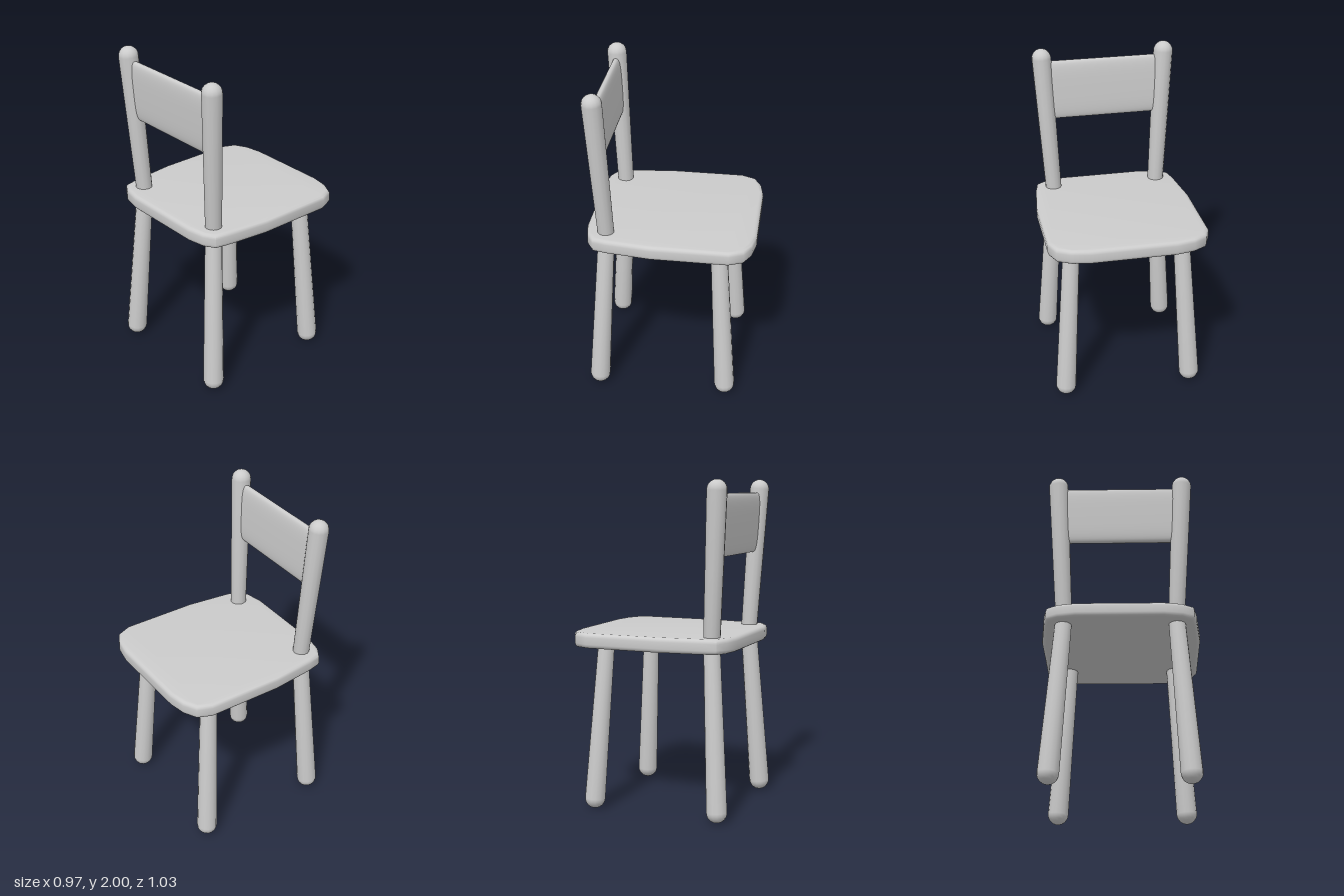
import * as THREE from 'three';
import { toCreasedNormals } from 'three/addons/utils/BufferGeometryUtils.js';

const material = new THREE.MeshStandardMaterial({ color: 0xcccccc });

function part(name, geometry) {
  const mesh = new THREE.Mesh(geometry, material);
  mesh.name = name;
  return mesh;
}

// Tapered round rod from base to tip, closed by a rounded end at the tip
function rod(name, base, tip, baseRadius, tipRadius) {
  const from = new THREE.Vector3(...base);
  const axis = new THREE.Vector3(...tip).sub(from);
  const length = axis.length();
  const profile = [new THREE.Vector2(0, 0), new THREE.Vector2(baseRadius, 0)];
  for (let i = 0; i <= 6; i++) {
    const a = (i / 6) * Math.PI / 2;
    profile.push(new THREE.Vector2(i === 6 ? 0 : tipRadius * Math.cos(a), length + tipRadius * Math.sin(a)));
  }
  const mesh = part(name, new THREE.LatheGeometry(profile, 14));
  mesh.quaternion.setFromUnitVectors(new THREE.Vector3(0, 1, 0), axis.normalize());
  mesh.position.copy(from);
  return mesh;
}

// Seat slab: mirrored outline with softened edges, narrower at the backrest end
function seat() {
  const half = [[0.26, -0.515], [0.37, -0.495], [0.45, -0.452], [0.487, -0.365],
    [0.487, 0.1], [0.455, 0.37], [0.437, 0.45], [0.37, 0.492], [0.26, 0.513]];
  const outline = [...half, ...half.map(([x, z]) => [-x, z]).reverse()];
  const shape = new THREE.Shape(outline.map(([x, z]) => new THREE.Vector2(x, -z)));
  const bevel = 0.025;
  const geometry = new THREE.ExtrudeGeometry(shape, {
    depth: 0.09 - 2 * bevel, bevelThickness: bevel, bevelSize: bevel, bevelOffset: -bevel, bevelSegments: 4,
  });
  geometry.rotateX(-Math.PI / 2);
  geometry.translate(0, 1.0 + bevel, 0);
  return part('seat', toCreasedNormals(geometry, 0.8));
}

// Backrest panel: softly rounded section swept between the posts, leaning with them
function backrest() {
  const width = 0.7, points = [];
  for (let i = 0; i < 32; i++) {
    const a = (i / 32) * Math.PI * 2, c = Math.cos(a), s = Math.sin(a);
    points.push(new THREE.Vector2(
      0.028 * Math.sign(c) * Math.abs(c) ** 0.6,
      0.185 * Math.sign(s) * Math.abs(s) ** 0.6));
  }
  const geometry = new THREE.ExtrudeGeometry(new THREE.Shape(points), { depth: width, bevelEnabled: false });
  geometry.translate(0, 0, -width / 2);
  geometry.rotateY(-Math.PI / 2);
  const mesh = part('backrest', toCreasedNormals(geometry, 1.0));
  mesh.rotation.x = 0.05;
  mesh.position.set(0, 1.735, 0.417);
  return mesh;
}

export function createModel() {
  const chair = new THREE.Group();
  chair.name = 'chair';
  chair.add(seat(), backrest());

  // Splayed legs and flared back posts on both sides
  for (const [side, s] of [['left', 1], ['right', -1]]) {
    chair.add(
      rod(side + 'BackLeg', [s * 0.335, 1.05, 0.383], [s * 0.397, 0.063, 0.442], 0.05, 0.063),
      rod(side + 'FrontLeg', [s * 0.335, 1.05, -0.295], [s * 0.397, 0.063, -0.354], 0.05, 0.063),
      rod(side + 'BackPost', [s * 0.335, 1.05, 0.383], [s * 0.383, 1.94, 0.428], 0.05, 0.06));
  }
  return chair;
}
